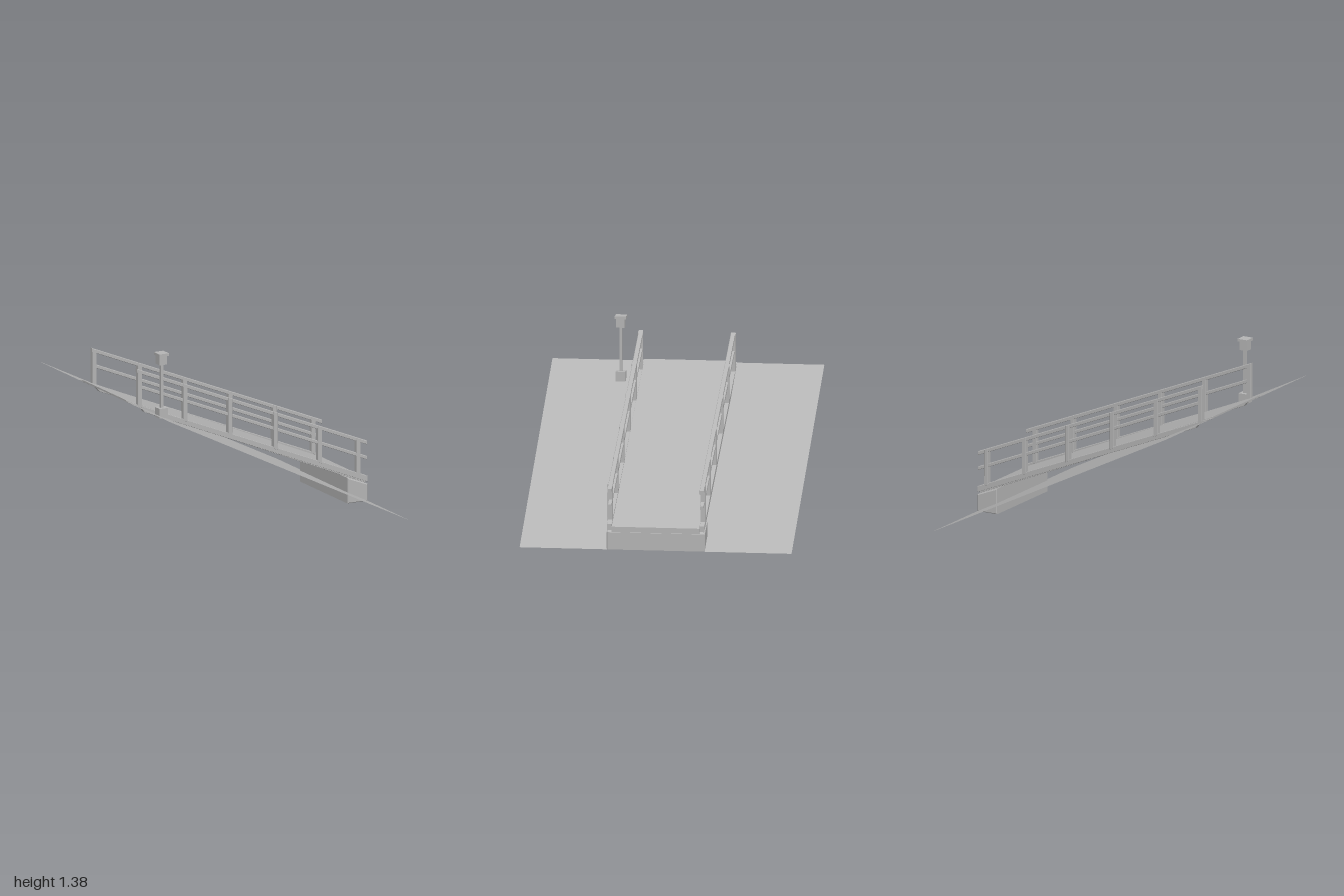
import * as THREE from 'three';

const stone = new THREE.MeshStandardMaterial({ color: 0xb4b4b4, side: THREE.DoubleSide });
stone.name = 'plain grey';

// Heights of the sloping lines along x
const groundY = x => 0.5 - x / 2;
const deckY = x => 0.591 - 0.421 * x;
const beamY = x => 0.5965 - 0.4085 * x;
const topRailY = x => 0.863 - 0.411 * x;
const lowRailY = x => 0.748 - 0.412 * x;

// Side profile in x and y, extruded across z from z0 to z1 with small chamfers
function slab(name, points, z0, z1, bevel = 0.003) {
  const shape = new THREE.Shape(points.map(p => new THREE.Vector2(p[0], p[1])));
  const geometry = new THREE.ExtrudeGeometry(shape, {
    depth: z1 - z0 - 2 * bevel, bevelEnabled: bevel > 0, bevelSegments: 1,
    bevelThickness: bevel, bevelSize: bevel, bevelOffset: -bevel,
  });
  geometry.translate(0, 0, z0 + bevel);
  const mesh = new THREE.Mesh(geometry, stone);
  mesh.name = name;
  return mesh;
}

function box(name, w, h, d, x, y, z) {
  const mesh = new THREE.Mesh(new THREE.BoxGeometry(w, h, d), stone);
  mesh.name = name;
  mesh.position.set(x, y, z);
  return mesh;
}

// Sloping bar of constant upright thickness
const bar = (name, line, t, x0, x1, z0, z1) => slab(name,
  [[x0, line(x0) - t], [x1, line(x1) - t], [x1, line(x1)], [x0, line(x0)]], z0, z1);

function createRailing(side) {
  const railing = new THREE.Group();
  railing.name = side > 0 ? 'frontRailing' : 'backRailing';
  const span = (a, b) => side > 0 ? [a, b] : [-b, -a];

  // Edge beam, its upper end resting on the hillside
  railing.add(slab('edgeBeam', [
    [-1, 0.998], [-0.885, 0.938], [-0.86, beamY(-0.86) - 0.04],
    [1, 0.145], [1, beamY(1)], [-1, beamY(-1)],
  ], ...span(0.323, 0.358), 0.002));

  railing.add(bar('topRail', topRailY, 0.028, -0.92, 1, ...span(0.323, 0.355)));
  railing.add(bar('lowerRail', lowRailY, 0.026, -0.915, 1, ...span(0.325, 0.352)));

  // Posts with tops cut to the slope
  for (const x of [-0.9, -0.52, -0.145, 0.235, 0.605, 0.927]) {
    const a = x - 0.017, b = x + 0.017;
    railing.add(slab('post', [
      [a, beamY(a) - 0.015], [b, beamY(b) - 0.015], [b, topRailY(b)], [a, topRailY(a)],
    ], ...span(0.322, 0.359)));
  }
  return railing;
}

function createLamp() {
  const lamp = new THREE.Group();
  lamp.name = 'lampPost';
  const x = -0.784, z = 0.47;
  lamp.add(box('lampBase', 0.07, 0.073, 0.072, x, 0.926, z));
  lamp.add(box('lampPole', 0.021, 0.34, 0.021, x, 1.128, z));
  lamp.add(box('lampHead', 0.062, 0.068, 0.062, x, 1.324, z));
  lamp.add(box('lampCap', 0.08, 0.02, 0.084, x, 1.366, z));
  return lamp;
}

export function createModel() {
  const model = new THREE.Group();
  model.name = 'hillsideRamp';

  // Sloping ground sheet
  const groundGeometry = new THREE.PlaneGeometry(2, 2).rotateX(-Math.PI / 2);
  const pos = groundGeometry.attributes.position;
  for (let i = 0; i < pos.count; i++) pos.setY(i, groundY(pos.getX(i)));
  groundGeometry.computeVertexNormals();
  const ground = new THREE.Mesh(groundGeometry, stone);
  ground.name = 'ground';
  model.add(ground);

  // Deck planks, thinned where they meet the ground
  const deck = new THREE.Group();
  deck.name = 'deck';
  const count = 21, step = 2 / count;
  for (let i = 0; i < count; i++) {
    const a = -1 + i * step, b = a + step;
    const under = x => Math.max(groundY(x), deckY(x) - 0.04);
    deck.add(slab('plank', [
      [a, under(a)], [b, under(b)], [b, deckY(b)], [a, deckY(a)],
    ], -0.325, 0.325, 0.0015));
  }
  model.add(deck);

  // Footing block under the low end
  model.add(slab('footing', [[0.833, 0], [1, 0], [1, 0.128], [0.833, 0.193]], -0.361, 0.361, 0.006));

  model.add(createRailing(1), createRailing(-1), createLamp());
  return model;
}
